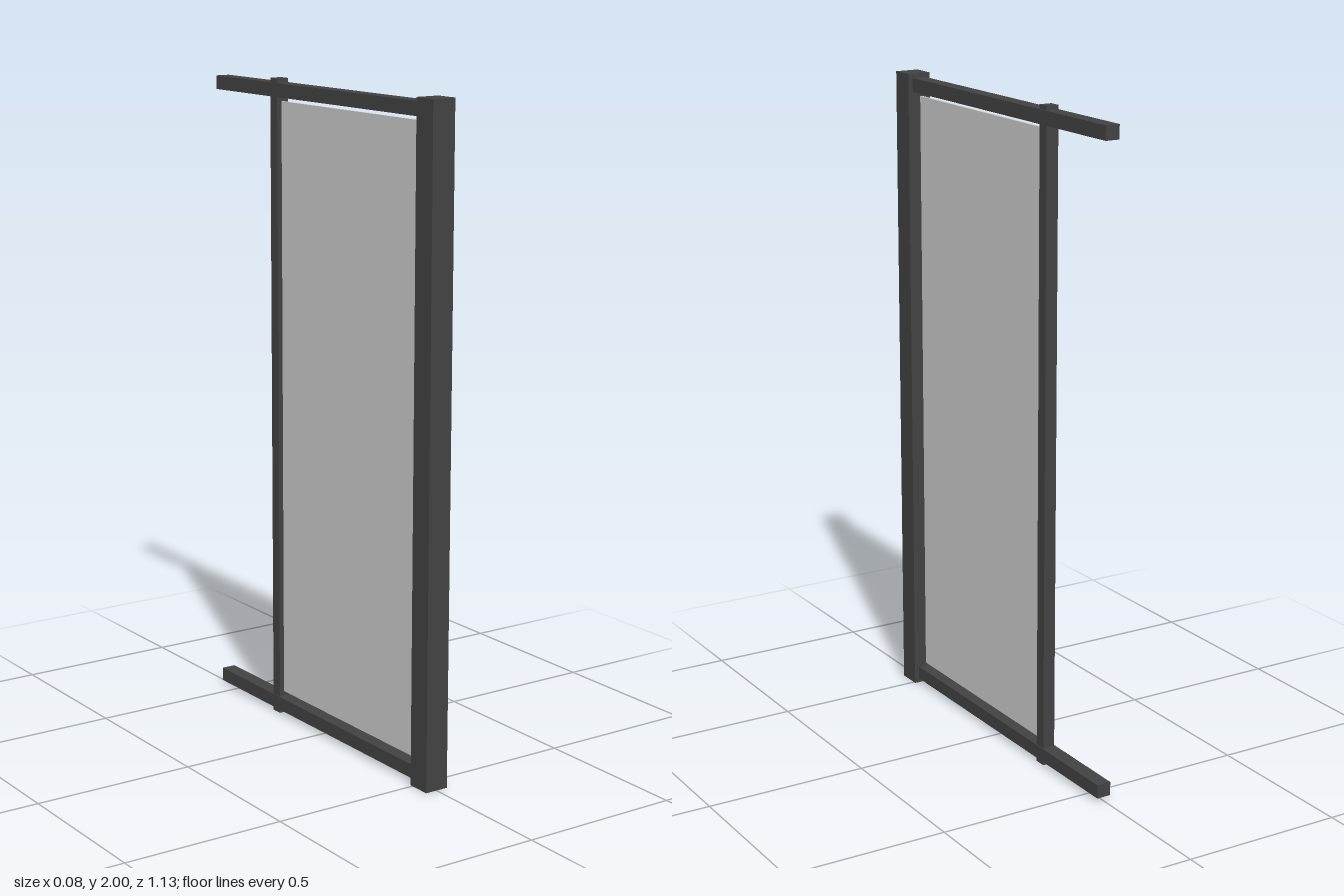
import * as THREE from 'three';

export function createModel() {
  const model = new THREE.Group();
  model.name = 'slidingGatePanel';

  const frame = new THREE.MeshStandardMaterial({ color: 0x424242 });
  frame.name = 'dark grey frame';
  const sheet = new THREE.MeshStandardMaterial({ color: 0xcacaca });
  sheet.name = 'light grey panel';

  // Box centred on x = 0, given by its width and its y and z limits
  function bar(name, material, width, y0, y1, z0, z1) {
    const mesh = new THREE.Mesh(new THREE.BoxGeometry(width, y1 - y0, z1 - z0), material);
    mesh.position.set(0, (y0 + y1) / 2, (z0 + z1) / 2);
    mesh.name = name;
    model.add(mesh);
  }

  // Uprights
  bar('mainPost', frame, 0.075, 0, 2, 0.491, 0.567);
  bar('slimPost', frame, 0.039, 0, 2, -0.267, -0.23);

  // Rails, running past the slim post
  bar('bottomRail', frame, 0.045, 0.013, 0.055, -0.567, 0.491);
  bar('topRail', frame, 0.045, 1.945, 1.987, -0.567, 0.491);

  // Infill sheet with a small gap to the frame
  bar('infillPanel', sheet, 0.008, 0.07, 1.932, -0.235, 0.478);

  return model;
}
